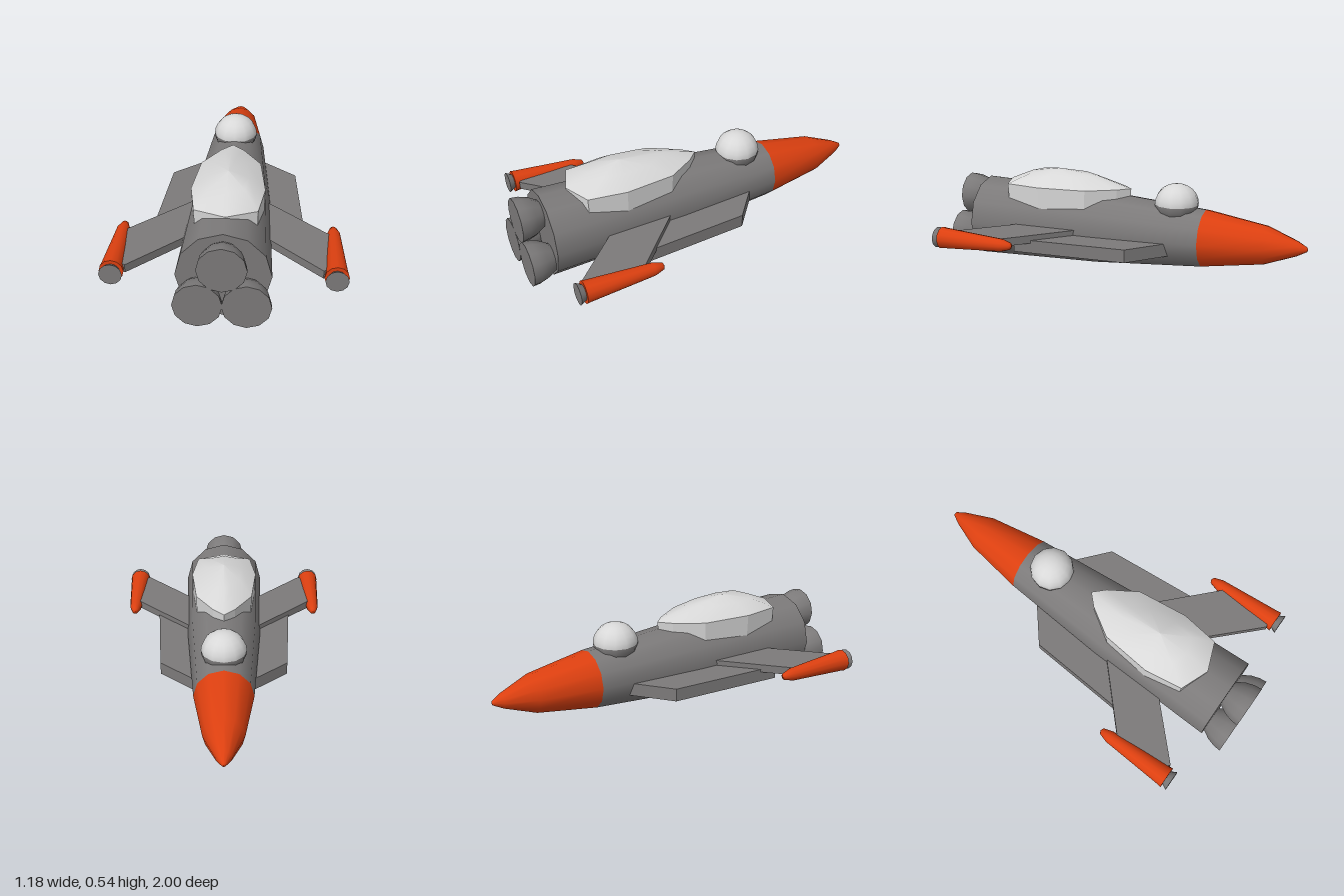
import * as THREE from 'three';

const AXIS_Y = 0.233;
const mat = (name, color, side = THREE.FrontSide) => {
  const m = new THREE.MeshStandardMaterial({ color, side });
  m.name = name;
  return m;
};

export function createModel() {
  const model = new THREE.Group();
  model.name = 'spacecraft';
  const grey = mat('hull grey', 0x7c7a7a);
  const orange = mat('orange', 0xdd4010);
  const pale = mat('pale grey', 0xd8d8d8);

  const add = (name, geo, material, x = 0, y = 0, z = 0) => {
    const mesh = new THREE.Mesh(geo, material);
    mesh.name = name;
    mesh.position.set(x, y, z);
    model.add(mesh);
    return mesh;
  };

  // Twelve-sided turned part along z, from [radius, z] pairs with z increasing
  const turned = (profile) => new THREE.LatheGeometry(
    profile.map(([r, z]) => new THREE.Vector2(r, z)), 12).rotateX(Math.PI / 2);
  const disc = (r) => new THREE.CircleGeometry(r, 12);

  // Flat plate from an [x, z] outline
  const plate = (outline, side, bottom, top) => new THREE.ExtrudeGeometry(
    new THREE.Shape(outline.map(([x, z]) => new THREE.Vector2(x * side, z))),
    { depth: top - bottom, bevelEnabled: false }).rotateX(Math.PI / 2).translate(0, top, 0);

  // Fuselage and nose
  add('noseCone', turned([[0, -1], [0.012, -0.995], [0.04, -0.945], [0.104, -0.78], [0.157, -0.45]]), orange, 0, AXIS_Y);
  add('fuselage', turned([[0.157, -0.45], [0.205, 0.15], [0.23, 0.87]]), grey, 0, AXIS_Y);
  add('fuselageEnd', disc(0.23), grey, 0, AXIS_Y, 0.87);

  // Three main engine bells
  for (const [x, y] of [[0, 0.352], [0.115, 0.152], [-0.115, 0.152]]) {
    add('engineBell', turned([[0.07, 0.865], [0.1, 0.915], [0.114, 0.96], [0.118, 1]]), grey, x, y);
    add('engineEnd', disc(0.118), grey, x, y, 1);
  }

  // Sensor dome: pale upper half in a grey lower half
  const half = (start) => new THREE.SphereGeometry(0.12, 12, 6, 0, Math.PI * 2, start, Math.PI / 2).scale(1, 0.92, 1);
  add('domeTop', half(0), pale, 0, 0.407, -0.285);
  add('domeBase', half(Math.PI / 2), grey, 0, 0.407, -0.285);

  // Canopy: faceted walls with a smooth domed roof
  const rightSide = [[0.06, 0.04], [0.155, 0.19], [0.185, 0.46], [0.155, 0.665]];
  const rim = [[0, -0.02], ...rightSide, [0, 0.725],
    ...rightSide.map(([x, z]) => [-x, z]).reverse()];
  const ring = (s, y) => rim.map(([x, z]) => [x * s, y, 0.42 + (z - 0.42) * s]);
  const loft = (rings) => {
    const n = rim.length, index = [];
    for (let k = 0; k < rings.length - 1; k++) {
      for (let i = 0; i < n; i++) {
        const a = k * n + i, b = k * n + (i + 1) % n;
        index.push(a, a + n, b, b, a + n, b + n);
      }
    }
    const geo = new THREE.BufferGeometry();
    geo.setAttribute('position', new THREE.Float32BufferAttribute(rings.flat(2), 3));
    geo.setIndex(index);
    return geo;
  };
  const wall = loft([ring(0.97, 0.3), ring(1, 0.465)]).toNonIndexed();
  wall.computeVertexNormals();
  add('canopyWall', wall, pale);
  const roof = loft([ring(1, 0.465), ring(0.56, 0.52), ring(0.001, 0.546)]);
  roof.computeVertexNormals();
  add('canopyRoof', roof, pale);

  for (const side of [1, -1]) {
    const label = side > 0 ? 'left' : 'right';
    // Forward strake and swept wing
    add(label + 'Strake', plate([[0.1, -0.33], [0.155, -0.285], [0.345, -0.125], [0.39, 0.5], [0.1, 0.5]],
      side, 0.155, 0.225), grey);
    add(label + 'Wing', plate([[0.1, 0.135], [0.2, 0.23], [0.53, 0.54], [0.53, 0.79], [0.47, 0.835], [0.1, 0.475]],
      side, 0.21, 0.253), grey);

    // Wingtip pod with a small nozzle
    const x = 0.532 * side;
    add(label + 'Pod', turned([[0, 0.43], [0.018, 0.438], [0.034, 0.49], [0.056, 0.835], [0.059, 0.855]]), orange, x, AXIS_Y - 0.003);
    add(label + 'PodEnd', disc(0.059), orange, x, AXIS_Y - 0.003, 0.855);
    add(label + 'PodNozzle', turned([[0.04, 0.855], [0.056, 0.885]]), grey, x, AXIS_Y - 0.003);
    add(label + 'PodNozzleEnd', disc(0.056), grey, x, AXIS_Y - 0.003, 0.885);
  }
  return model;
}
